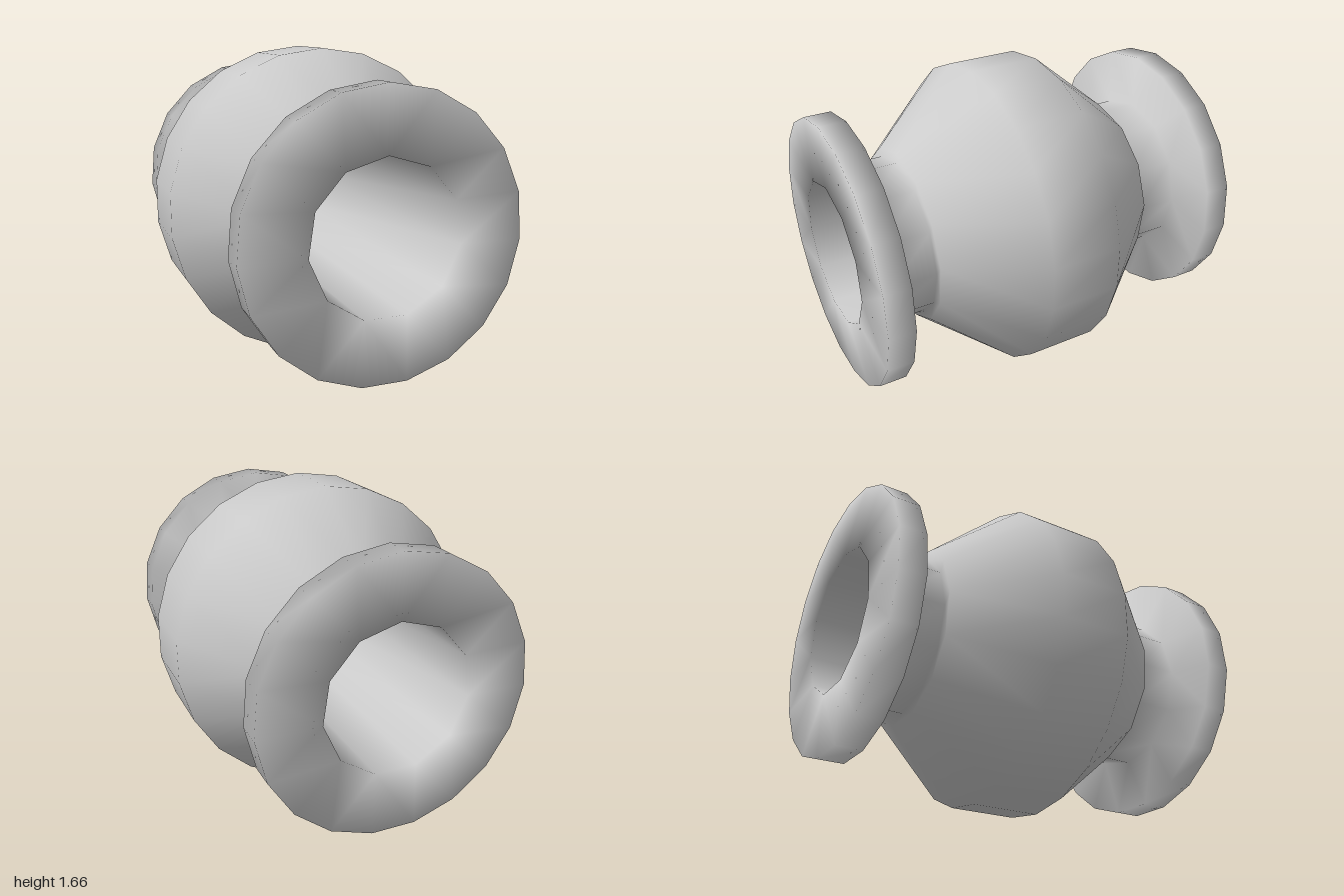
import * as THREE from 'three';

const AXIS_Y = 0.835;

// Half profile from front mouth to middle: [z, radius, sides]
const half = [
  [1.0, 0.385, 11],  // bore mouth
  [1.0, 0.71, 19],   // flange face
  [0.86, 0.71, 19],  // flange back
  [0.86, 0.425, 12], // neck start
  [0.62, 0.425, 12], // neck end
  [0.62, 0.475, 13], // casing shoulder
  [0.19, 0.83, 22],  // casing belly
];
const profile = [...half, ...half.slice().reverse().map(([z, r, n]) => [-z, r, n])];

// Spans between consecutive rings that make up each part
const parts = {
  frontFlange: [0, 1, 2],
  frontNeck: [3],
  casing: [4, 5, 6, 7, 8],
  backNeck: [9],
  backFlange: [10, 11, 12],
  bore: [13],
};

// Triangles joining two rings that may have different numbers of sides
function stitch(a, b) {
  const index = [];
  let i = 0, j = 0;
  while (i < a.n || j < b.n) {
    const pa = a.start + (i % a.n), pb = b.start + (j % b.n);
    const stepA = i < a.n && (j === b.n || (i + 0.5) / a.n <= (j + 0.5) / b.n);
    if (stepA) {
      i++;
      index.push(pa, a.start + (i % a.n), pb);
    } else {
      j++;
      index.push(pb, pa, b.start + (j % b.n));
    }
  }
  return index;
}

export function createModel() {
  const group = new THREE.Group();
  group.name = 'pipeFitting';

  // Rings of points around the z axis, starting at the top
  const points = [];
  const rings = profile.map(([z, r, n]) => {
    const start = points.length / 3;
    for (let k = 0; k < n; k++) {
      const t = (k / n) * Math.PI * 2;
      points.push(r * Math.sin(t), AXIS_Y + r * Math.cos(t), z);
    }
    return { start, n };
  });
  const spans = rings.map((ring, k) => stitch(ring, rings[(k + 1) % rings.length]));

  // Smooth normals shared by the whole skin
  const skin = new THREE.BufferGeometry();
  skin.setAttribute('position', new THREE.Float32BufferAttribute(points, 3));
  skin.setIndex(spans.flat());
  skin.computeVertexNormals();

  // One mesh per part, each using its own spans of the skin
  const material = new THREE.MeshStandardMaterial({ color: 0xcccccc });
  for (const [name, list] of Object.entries(parts)) {
    const geometry = new THREE.BufferGeometry();
    geometry.setAttribute('position', skin.getAttribute('position'));
    geometry.setAttribute('normal', skin.getAttribute('normal'));
    geometry.setIndex(list.flatMap((k) => spans[k]));
    const mesh = new THREE.Mesh(geometry, material);
    mesh.name = name;
    group.add(mesh);
  }
  return group;
}
